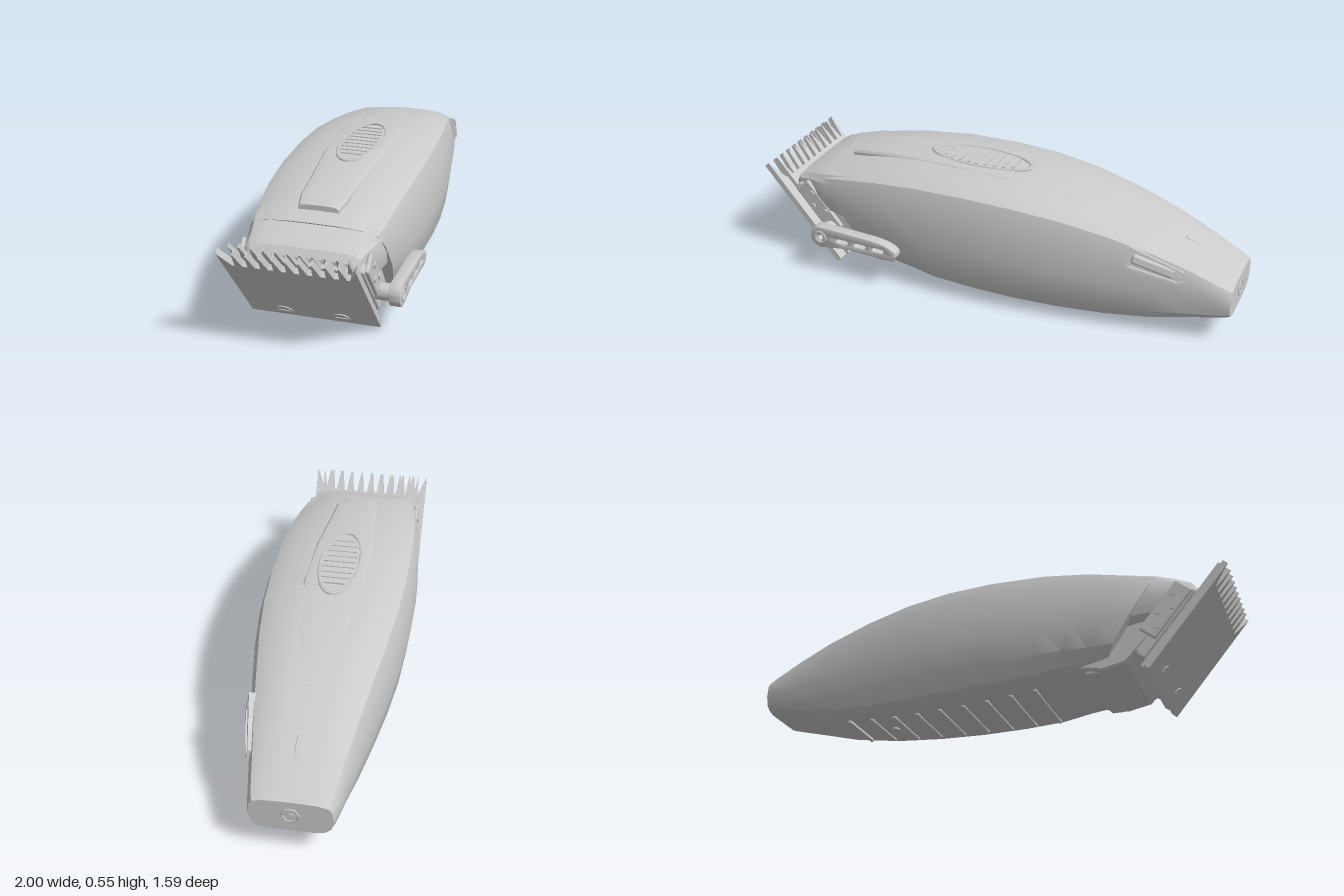
import * as THREE from 'three';
import { toCreasedNormals } from 'three/addons/utils/BufferGeometryUtils.js';
import { RoundedBoxGeometry } from 'three/addons/geometries/RoundedBoxGeometry.js';

const grey = new THREE.MeshStandardMaterial({ color: 0xcccccc, side: THREE.DoubleSide });
const MID = -0.018; // sideways centre of the body

function add(parent, name, geometry, x = 0, y = 0, z = 0) {
  const mesh = new THREE.Mesh(geometry, grey);
  mesh.name = name;
  mesh.position.set(x, y, z);
  parent.add(mesh);
  return mesh;
}

// Half cross-section, bottom centre to top centre: [share of half width, share of height]
const HALF = [[0, 0], [0.35, 0], [0.62, 0.008], [0.81, 0.065], [0.945, 0.19], [1, 0.45],
  [0.975, 0.77], [0.9, 0.91], [0.68, 0.975], [0.33, 0.996], [0, 1]];
const RING = [...HALF, ...HALF.slice(1, -1).reverse().map(([w, h]) => [-w, h])];

// Loft through stations [along, half width, top, bottom]; slant leans the front end back
function loft(stations, slant = 0) {
  const pos = [], index = [], n = RING.length;
  for (const [u, hw, top, bot] of stations) {
    const lean = slant * Math.max(0, (-0.1 - u) / 0.6);
    for (const [w, h] of RING) {
      const y = bot + h * (top - bot);
      pos.push(u + lean * (top - y), y, MID + w * hw);
    }
  }
  for (let i = 0; i < stations.length - 1; i++) for (let j = 0; j < n; j++) {
    const a = i * n + j, b = i * n + (j + 1) % n;
    index.push(a, a + n, b, b, a + n, b + n);
  }
  // end caps
  const last = (stations.length - 1) * n;
  for (let j = 1; j < n - 1; j++) {
    index.push(0, j, j + 1);
    index.push(last, last + j + 1, last + j);
  }
  const g = new THREE.BufferGeometry();
  g.setAttribute('position', new THREE.Float32BufferAttribute(pos, 3));
  g.setIndex(index);
  return toCreasedNormals(g, 0.5);
}

// Flat toothed plate: width along z, teeth towards +y, thickness along x
function bladeGeometry(hw, valley, tip, teeth, prong, thick) {
  const s = new THREE.Shape();
  s.moveTo(-hw, 0);
  s.lineTo(-hw, tip);
  s.lineTo(-hw + prong, valley);
  const step = (2 * hw - 2 * prong) / teeth;
  for (let i = 0; i < teeth; i++) {
    const x = -hw + prong + i * step;
    s.lineTo(x + step * 0.2, valley);
    s.lineTo(x + step * 0.45, tip);
    s.lineTo(x + step * 0.55, tip);
    s.lineTo(x + step * 0.8, valley);
  }
  s.lineTo(hw - prong, valley);
  s.lineTo(hw, tip);
  s.lineTo(hw, 0);
  return new THREE.ExtrudeGeometry(s, { depth: thick, bevelEnabled: false }).rotateY(Math.PI / 2);
}

function slot(x0, x1, r) {
  const p = new THREE.Path();
  p.absarc(x1, 0, r, -Math.PI / 2, Math.PI / 2, false);
  p.absarc(x0, 0, r, Math.PI / 2, Math.PI * 1.5, false);
  p.closePath();
  return p;
}

const points = list => list.map(p => new THREE.Vector2(...p));

export function createModel() {
  const model = new THREE.Group();
  model.name = 'hairClipper';
  const clipper = new THREE.Group(); // x runs from blades to tail
  clipper.name = 'clipper';
  clipper.rotation.y = THREE.MathUtils.degToRad(35.5);
  model.add(clipper);

  // Housing
  add(clipper, 'body', loft([
    [-0.73, 0.285, 0.455, 0.07], [-0.6, 0.302, 0.485, 0.05], [-0.45, 0.316, 0.513, 0.04],
    [-0.25, 0.325, 0.536, 0.02], [0, 0.325, 0.543, 0.01], [0.2, 0.315, 0.536, 0.004],
    [0.4, 0.292, 0.513, 0.004], [0.6, 0.26, 0.47, 0.012], [0.8, 0.226, 0.408, 0.035],
    [0.95, 0.198, 0.345, 0.07], [1.08, 0.176, 0.28, 0.1], [1.122, 0.165, 0.258, 0.11]], 0.64));
  add(clipper, 'topPanel', loft([
    [-0.65, 0.085, 0.495, 0.44], [-0.58, 0.1, 0.513, 0.45], [-0.45, 0.105, 0.53, 0.46],
    [-0.2, 0.13, 0.547, 0.48], [0.1, 0.14, 0.546, 0.48], [0.4, 0.11, 0.517, 0.45],
    [0.65, 0.05, 0.455, 0.42]]));

  // Nose: crowned shell sloping down to the blades
  add(clipper, 'nose', loft([
    [-0.872, 0.215, 0.375, 0.33], [-0.85, 0.235, 0.405, 0.31], [-0.79, 0.25, 0.432, 0.26],
    [-0.7, 0.272, 0.457, 0.22], [-0.55, 0.285, 0.485, 0.2]]));

  // Blade mount under the nose
  const mount = new THREE.Shape(points([[-0.83, 0.36], [-0.6, 0.4], [-0.4, 0.3],
    [-0.34, 0.08], [-0.46, 0.055], [-0.56, 0.075]]));
  const mountGeo = new THREE.ExtrudeGeometry(mount, { depth: 0.42, bevelSize: 0.012, bevelThickness: 0.025, bevelSegments: 2 });
  add(clipper, 'bladeMount', toCreasedNormals(mountGeo, 0.5), 0, 0, MID - 0.21);
  add(clipper, 'mountCrossbar', new RoundedBoxGeometry(0.07, 0.03, 0.44, 2, 0.012), -0.42, 0.055, MID);

  // Thumb rest: shallow oval rim with grip ribs
  const rim = new THREE.TorusGeometry(1, 0.06, 6, 40).rotateX(Math.PI / 2);
  add(clipper, 'thumbRestRim', rim, -0.05, 0.544, MID).scale.set(0.23, 0.1, 0.085);
  for (let i = -4; i <= 4; i++) {
    const half = 0.07 * Math.sqrt(1 - (i / 5.2) ** 2);
    add(clipper, 'thumbRestRib', new THREE.BoxGeometry(0.012, 0.008, 2 * half), -0.05 + i * 0.04, 0.546, MID);
  }

  // Blades, tilted forward
  const blades = new THREE.Group();
  blades.name = 'bladeSet';
  blades.position.set(-0.667, 0.005, -0.03);
  blades.rotation.z = 0.694;
  clipper.add(blades);
  add(blades, 'outerBlade', bladeGeometry(0.272, 0.445, 0.54, 9, 0.04, 0.026));
  add(blades, 'cutterBlade', bladeGeometry(0.235, 0.44, 0.535, 9, 0.02, 0.018), 0.036, 0, 0);
  add(blades, 'bladeBacking', new RoundedBoxGeometry(0.045, 0.36, 0.5, 2, 0.01), 0.08, 0.21, 0.01);
  add(blades, 'bladeSpacer', new THREE.BoxGeometry(0.06, 0.3, 0.46), 0.115, 0.2, 0.01);
  for (const z of [-0.12, 0.12]) {
    add(blades, 'bladeScrew', new THREE.CylinderGeometry(0.035, 0.035, 0.012, 20).rotateZ(Math.PI / 2), 0.002, 0.05, z);
    add(blades, 'screwSlot', new THREE.BoxGeometry(0.006, 0.01, 0.05), -0.004, 0.05, z);
  }
  for (const side of [-1, 1]) {
    add(blades, 'sidePlate', new RoundedBoxGeometry(0.085, 0.26, 0.02, 2, 0.009), 0.11, 0.25, 0.01 + side * 0.255);
    for (let i = 0; i < 4; i++) {
      add(blades, 'sideRivet', new THREE.CylinderGeometry(0.013, 0.013, 0.012, 14).rotateX(Math.PI / 2),
        0.11 + (i % 2 ? 0.018 : -0.018), 0.17 + i * 0.05, 0.01 + side * 0.266);
    }
  }

  // Taper lever with slots, on the left side
  const lever = new THREE.Group();
  lever.name = 'taperLever';
  lever.position.set(-0.685, 0.178, 0.295);
  clipper.add(lever);
  const arm = new THREE.Shape();
  arm.absarc(0, 0, 0.048, Math.PI / 2, Math.PI * 1.5, false);
  arm.lineTo(0.12, -0.03);
  arm.lineTo(0.33, -0.035);
  arm.quadraticCurveTo(0.385, -0.03, 0.37, 0.005);
  arm.quadraticCurveTo(0.34, 0.035, 0.24, 0.04);
  arm.closePath();
  arm.holes.push(new THREE.Path().absarc(0, 0, 0.016, 0, Math.PI * 2, true));
  for (const x of [0.09, 0.18, 0.27]) arm.holes.push(slot(x, x + 0.04, 0.013));
  add(lever, 'leverArm', toCreasedNormals(new THREE.ExtrudeGeometry(arm,
    { depth: 0.038, bevelSize: 0.004, bevelThickness: 0.005, bevelSegments: 2, curveSegments: 10 }), 0.5));
  add(lever, 'leverHub', new THREE.TorusGeometry(0.026, 0.006, 8, 24), 0, 0, 0.042);
  add(lever, 'leverPivot', new THREE.CylinderGeometry(0.035, 0.035, 0.14, 20).rotateX(Math.PI / 2), 0, 0, -0.06);

  // Power switch in a tapering frame on the left flank
  const power = new THREE.Group();
  power.name = 'powerSwitch';
  power.position.set(0.81, 0.325, 0.19);
  power.rotation.set(-0.2, 0.19, -0.3, 'YZX');
  clipper.add(power);
  const frame = new THREE.Shape(points([[-0.13, 0.046], [0.12, 0.026], [0.135, -0.01], [0.11, -0.03], [-0.11, -0.046]]));
  frame.holes.push(new THREE.Path(points([[-0.115, 0.036], [-0.1, -0.036], [0.105, -0.022], [0.125, -0.008], [0.112, 0.018]])));
  add(power, 'switchFrame', new THREE.ExtrudeGeometry(frame, { depth: 0.03, bevelEnabled: false }), 0, 0, -0.008);
  add(power, 'switchSlider', new RoundedBoxGeometry(0.18, 0.04, 0.03, 2, 0.01), -0.01, 0, 0.004);

  // Indicator window near the tail
  add(clipper, 'indicator', new RoundedBoxGeometry(0.09, 0.01, 0.03, 2, 0.004), 0.92, 0.355, MID).rotation.z = -0.43;

  // Tail socket
  add(clipper, 'tailSocketRim', new THREE.TorusGeometry(0.034, 0.005, 6, 6).rotateY(Math.PI / 2), 1.122, 0.19, MID);
  add(clipper, 'tailPin', new THREE.CylinderGeometry(0.012, 0.012, 0.01, 14).rotateZ(Math.PI / 2), 1.121, 0.19, MID);

  // Grip ribs across the underside, following its curve
  const floor = x => 0.004 + 0.08 * (x - 0.3) ** 2;
  for (let i = 0; i < 9; i++) {
    const x = -0.16 + i * 0.11;
    add(clipper, 'undersideRib', new RoundedBoxGeometry(0.016, 0.014, 0.38 - i * 0.017, 1, 0.004), x, floor(x), MID);
  }
  add(clipper, 'undersideScrew', new THREE.CylinderGeometry(0.018, 0.018, 0.012, 16), 0.55, floor(0.55), MID);
  return model;
}
